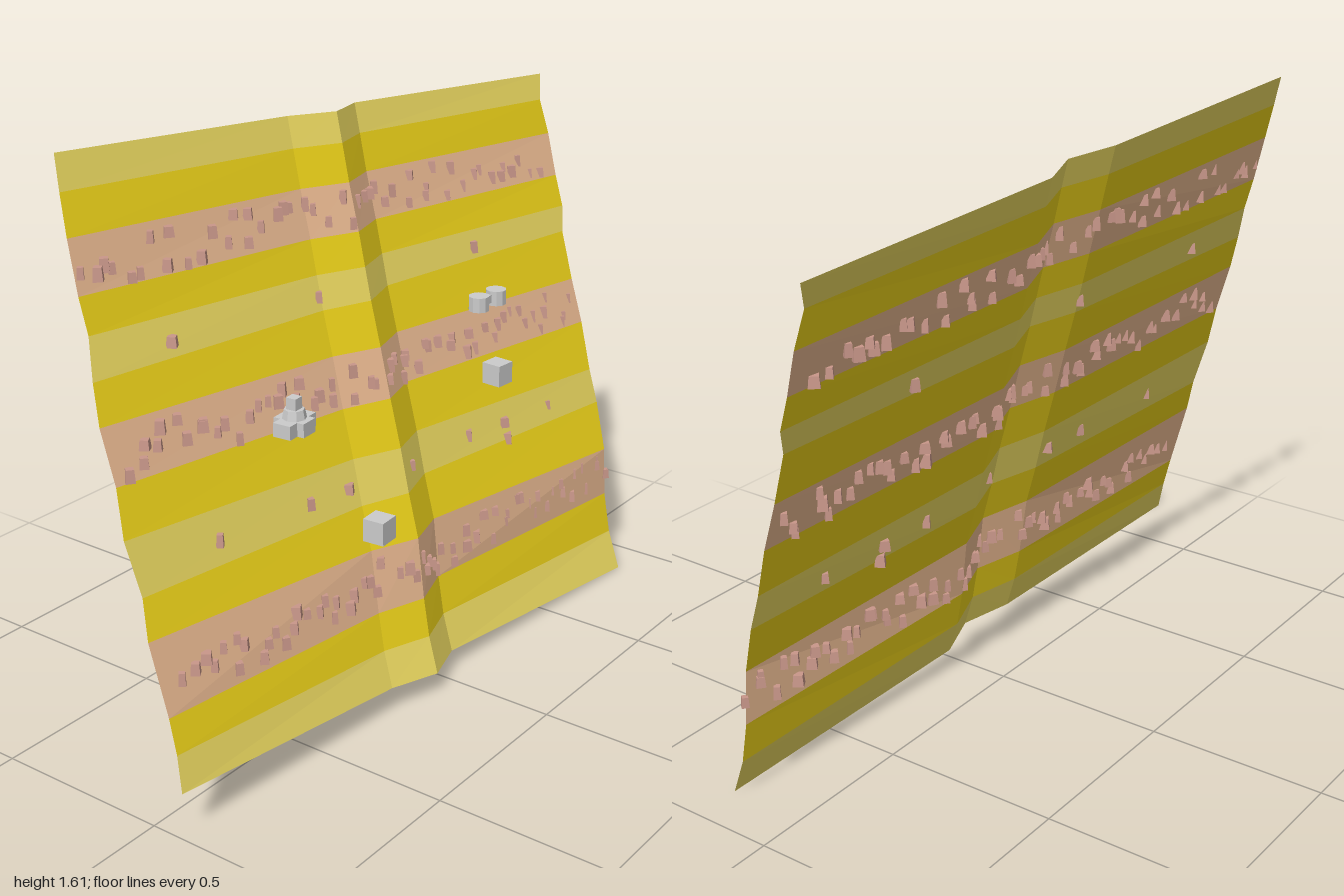
import * as THREE from 'three';

const lerp = THREE.MathUtils.lerp;
const mat = (color) => new THREE.MeshStandardMaterial({ color, flatShading: true, side: THREE.DoubleSide });

// Both end edges of the sheet, from the bottom row up: [x, y, z]
const frontEdge = [
  [0.10, 0.13, 1.0], [0.075, 0.22, 0.985], [0.05, 0.31, 0.98], [0.0, 0.5, 0.985], [-0.03, 0.6, 0.965],
  [-0.07, 0.74, 0.975], [-0.105, 0.86, 0.955], [-0.145, 1.0, 0.957], [-0.175, 1.1, 0.94],
  [-0.205, 1.2, 0.915], [-0.23, 1.29, 0.915], [-0.265, 1.42, 0.905], [-0.295, 1.52, 0.89], [-0.32, 1.605, 0.875],
];
const backEdge = [
  [0.22, 0, -0.87], [0.175, 0.11, -0.88], [0.15, 0.23, -0.885], [0.145, 0.38, -0.88], [0.10, 0.52, -0.9],
  [0.07, 0.62, -0.9], [0.025, 0.76, -0.917], [-0.015, 0.89, -0.917], [-0.06, 1.03, -0.927],
  [-0.08, 1.1, -0.955], [-0.11, 1.19, -0.96], [-0.15, 1.31, -0.975], [-0.178, 1.41, -0.967], [-0.2, 1.48, -1.0],
];
const BANDS = frontEdge.length - 1;

// Ridge across the sheet: [distance in z from the crest, offset in x]
const ridge = [[2, 0], [0.15, 0.012], [0, 0.045], [-0.14, -0.013], [-2, 0]];
const crest = (row) => 0.09 - 0.12 * row / BANDS;

function ridgeOffset(d) {
  for (let i = 0; i < ridge.length - 1; i++) {
    const [a, u] = ridge[i], [b, v] = ridge[i + 1];
    if (d <= a && d >= b) return lerp(u, v, (a - d) / (a - b));
  }
  return 0;
}

// Point on the sheet at a (fractional) row and z position
function sheetPoint(row, z) {
  const i = Math.min(Math.floor(row), BANDS - 1), s = row - i;
  const edge = (e) => e[i].map((v, k) => lerp(v, e[i + 1][k], s));
  const a = edge(frontEdge), b = edge(backEdge);
  const t = (a[2] - z) / (a[2] - b[2]);
  const atEnd = t < 0.001 || t > 0.999;
  return [lerp(a[0], b[0], t) + (atEnd ? 0 : ridgeOffset(z - crest(row))), lerp(a[1], b[1], t), z];
}

// One coloured strip between two rows, folded at the ridge
function bandGeometry(i) {
  const columns = (row) => [
    frontEdge[row][2], ...ridge.slice(1, 4).map(([d]) => crest(row) + d), backEdge[row][2],
  ].map((z) => sheetPoint(row, z));
  const lo = columns(i), hi = columns(i + 1), pos = [];
  for (let j = 0; j < lo.length - 1; j++) {
    pos.push(...lo[j], ...lo[j + 1], ...hi[j + 1], ...lo[j], ...hi[j + 1], ...hi[j]);
  }
  const g = new THREE.BufferGeometry();
  g.setAttribute('position', new THREE.Float32BufferAttribute(pos, 3));
  g.computeVertexNormals();
  return g;
}

function seeded(seed) {
  return () => {
    seed = (seed * 16807) % 2147483647;
    return seed / 2147483647;
  };
}

export function createModel() {
  const model = new THREE.Group();
  model.name = 'stripedCliff';
  const add = (parent, name, geometry, material, x = 0, y = 0, z = 0, turn = 0) => {
    const m = new THREE.Mesh(geometry, material);
    m.name = name;
    m.position.set(x, y, z);
    m.rotation.y = turn;
    parent.add(m);
    return m;
  };

  // Sheet of coloured bands
  const sheet = new THREE.Group();
  sheet.name = 'sheet';
  model.add(sheet);
  const yellow = mat(0xf0d51a), pale = mat(0xeedb62), pink = mat(0xeebd94);
  for (let i = 0; i < BANDS; i++) {
    const [name, m] = i % 4 === 0 ? ['paleBand', pale] : i % 4 === 2 ? ['pinkBand', pink] : ['yellowBand', yellow];
    add(sheet, name, bandGeometry(i), m);
  }

  // Four-sided tapered stones, dense on the pink bands
  const stones = new THREE.Group();
  stones.name = 'stones';
  model.add(stones);
  const stoneMat = mat(0xc9978a);
  const rand = seeded(4177);
  const stone = (row, z) => {
    const r = 0.012 + 0.009 * rand();
    const geometry = new THREE.CylinderGeometry(r * 0.8, r, 0.026 + 0.01 * rand(), 4);
    add(stones, 'stone', geometry, stoneMat, ...sheetPoint(row, z), (rand() - 0.5) * 0.5);
  };
  for (const [band, count] of [[2, 60], [6, 56], [10, 48]]) {
    for (let k = 0; k < count; k++) {
      const z = lerp(0.92, -0.9, (k + rand()) / count);
      stone(band + 0.12 + 0.7 * rand(), z);
    }
  }
  // Sparse stones on the pale bands
  for (const z of [0.7, 0.38, 0.235, -0.01, -0.3, -0.46, -0.67]) stone(4.45, z);
  stone(4.02, -0.46);
  for (const z of [0.685, 0.17, -0.51]) stone(8.4, z);

  // Grey blocks floating in front of the sheet
  const grey = mat(0xcccccc);
  const cube = new THREE.BoxGeometry(0.058, 0.06, 0.058);
  add(model, 'lowerBlock', cube, grey, 0.285, 0.675, 0.46, 0.08);
  add(model, 'upperBlock', cube, grey, 0.138, 0.82, -0.278, -0.08);

  // Stepped tower on a cross-shaped base
  const tower = new THREE.Group();
  tower.name = 'tower';
  tower.position.set(0.078, 0.92, 0.525);
  tower.rotation.y = 0.08;
  model.add(tower);
  add(tower, 'baseLong', new THREE.BoxGeometry(0.05, 0.036, 0.11), grey);
  add(tower, 'baseWide', new THREE.BoxGeometry(0.088, 0.036, 0.05), grey);
  add(tower, 'towerBody', new THREE.CylinderGeometry(0.026, 0.035, 0.044, 8), grey, 0, 0.02, 0);
  add(tower, 'towerTop', new THREE.BoxGeometry(0.028, 0.034, 0.028), grey, 0, 0.055, 0);

  // Pair of linked drums
  const drums = new THREE.Group();
  drums.name = 'drumPair';
  model.add(drums);
  const drum = new THREE.CylinderGeometry(0.028, 0.028, 0.04, 10);
  add(drums, 'drum', drum, grey, 0.15, 1.055, -0.163 - 0.0);
  add(drums, 'drum', drum, grey, 0.155, 1.055, -0.237);
  add(drums, 'drumLink', new THREE.BoxGeometry(0.014, 0.022, 0.04), grey, 0.152, 1.055, -0.2);
  return model;
}
